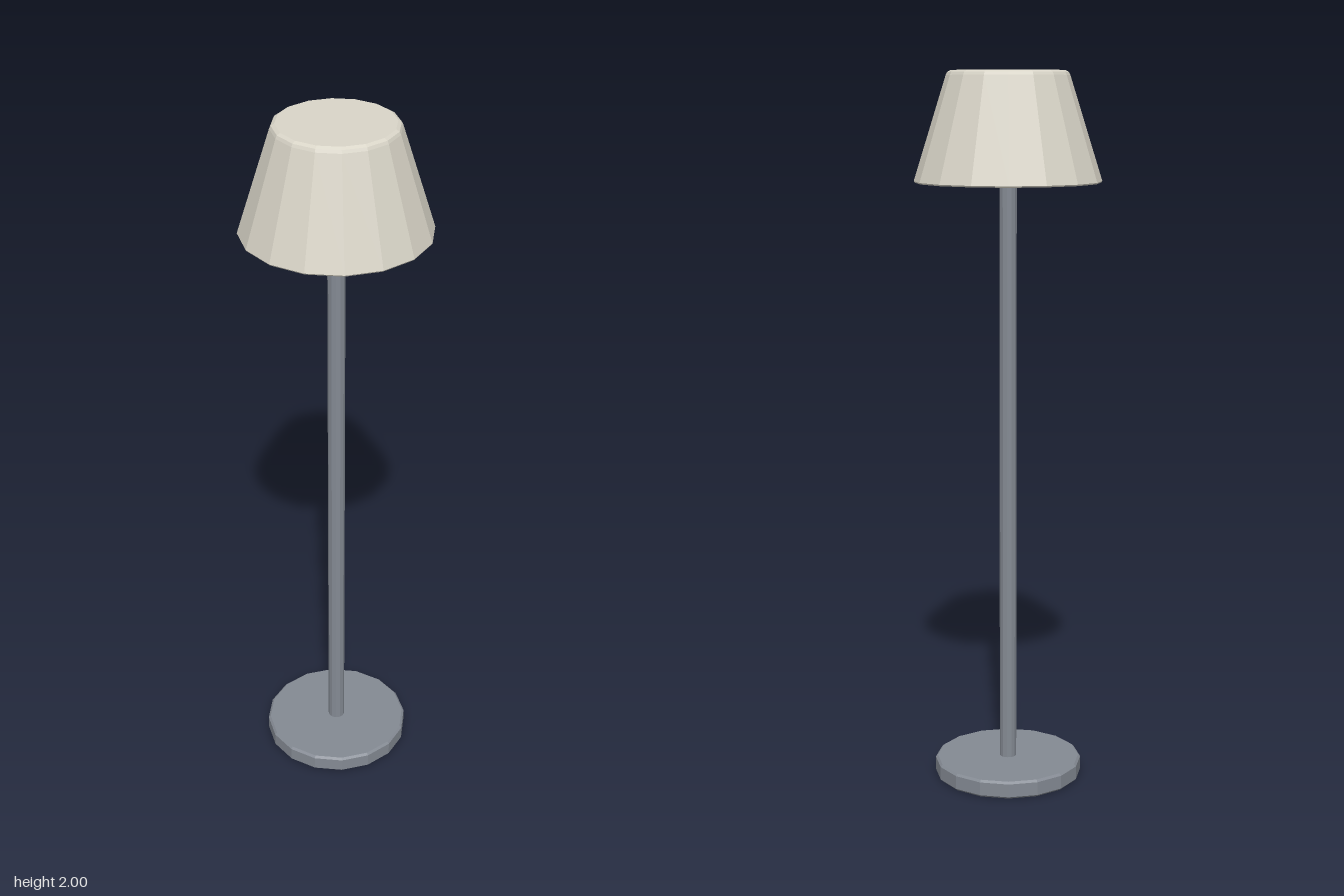
import * as THREE from 'three';

export function createModel() {
  const model = new THREE.Group();
  model.name = 'floorLamp';

  const metal = new THREE.MeshStandardMaterial({ name: 'greyMetal', color: 0x848a93, flatShading: true });
  const fabric = new THREE.MeshStandardMaterial({ name: 'creamShade', color: 0xd9d5c8, flatShading: true });

  // Faceted solid of revolution from [radius, height] pairs, bottom to top
  function turned(name, profile, sides, material) {
    const points = profile.map(([r, y]) => new THREE.Vector2(r, y));
    const mesh = new THREE.Mesh(new THREE.LatheGeometry(points, sides), material);
    mesh.name = name;
    model.add(mesh);
  }

  // Disc foot with softened edges
  turned('base', [[0, 0], [0.204, 0], [0.21, 0.006], [0.21, 0.044], [0.204, 0.05], [0, 0.05]], 16, metal);

  // Slim upright
  turned('pole', [[0, 0.04], [0.024, 0.04], [0.024, 1.71], [0, 1.71]], 12, metal);

  // Closed tapered shade with a bevelled top rim
  turned('shade', [
    [0, 1.7], [0.254, 1.7], [0.257, 1.704], [0.168, 1.987], [0.164, 1.995], [0.155, 2], [0, 2],
  ], 16, fabric);

  return model;
}
